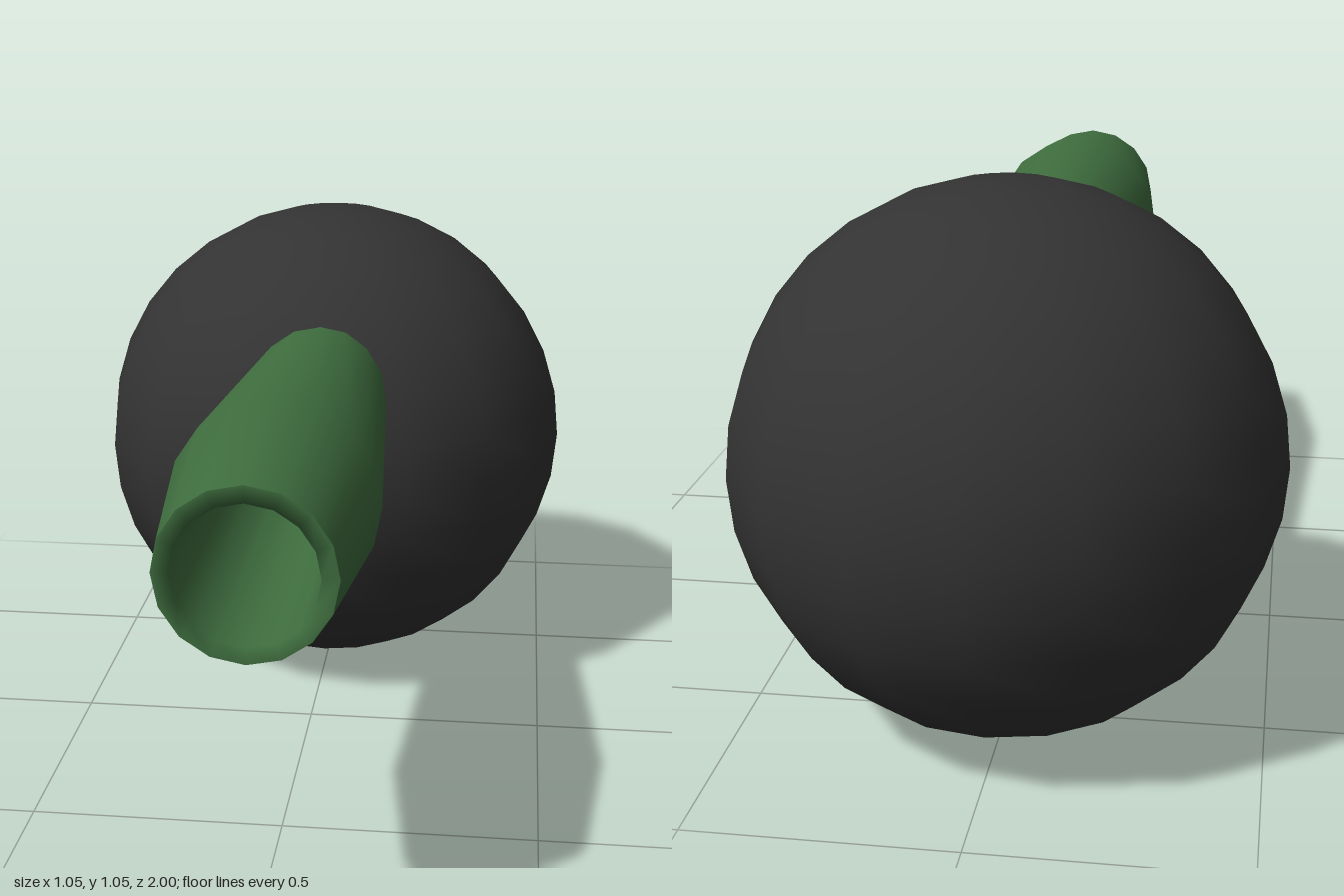
import * as THREE from 'three';

const SIDES = 16;

// Revolve [radius, z] points around the z axis.
function latheAlongZ(points) {
  const profile = points.map(([r, z]) => new THREE.Vector2(r, z));
  return new THREE.LatheGeometry(profile, SIDES).rotateX(Math.PI / 2);
}

export function createModel() {
  const model = new THREE.Group();
  model.name = 'ballWithSpout';

  const dark = new THREE.MeshStandardMaterial({ color: 0x333333 });
  const green = new THREE.MeshStandardMaterial({ color: 0x3f6e3f });

  // Round body, poles up and down
  const ball = new THREE.Mesh(new THREE.SphereGeometry(0.527, SIDES, 16), dark);
  ball.name = 'ball';
  ball.position.set(0, 0.53, -0.473);
  model.add(ball);

  // Hollow spout, slightly swollen, sunk into the ball
  const spout = new THREE.Group();
  spout.name = 'spout';
  spout.position.set(0.01, 0.727, 0);
  model.add(spout);

  const outer = new THREE.Mesh(
    latheAlongZ([[0.141, -0.1], [0.19, 0.65], [0.152, 1]]), green);
  outer.name = 'spoutWall';

  // Rim and bore
  const bore = new THREE.Mesh(
    latheAlongZ([[0.152, 1], [0.122, 1], [0.117, -0.1]]), green);
  bore.name = 'spoutBore';

  spout.add(outer, bore);
  return model;
}
